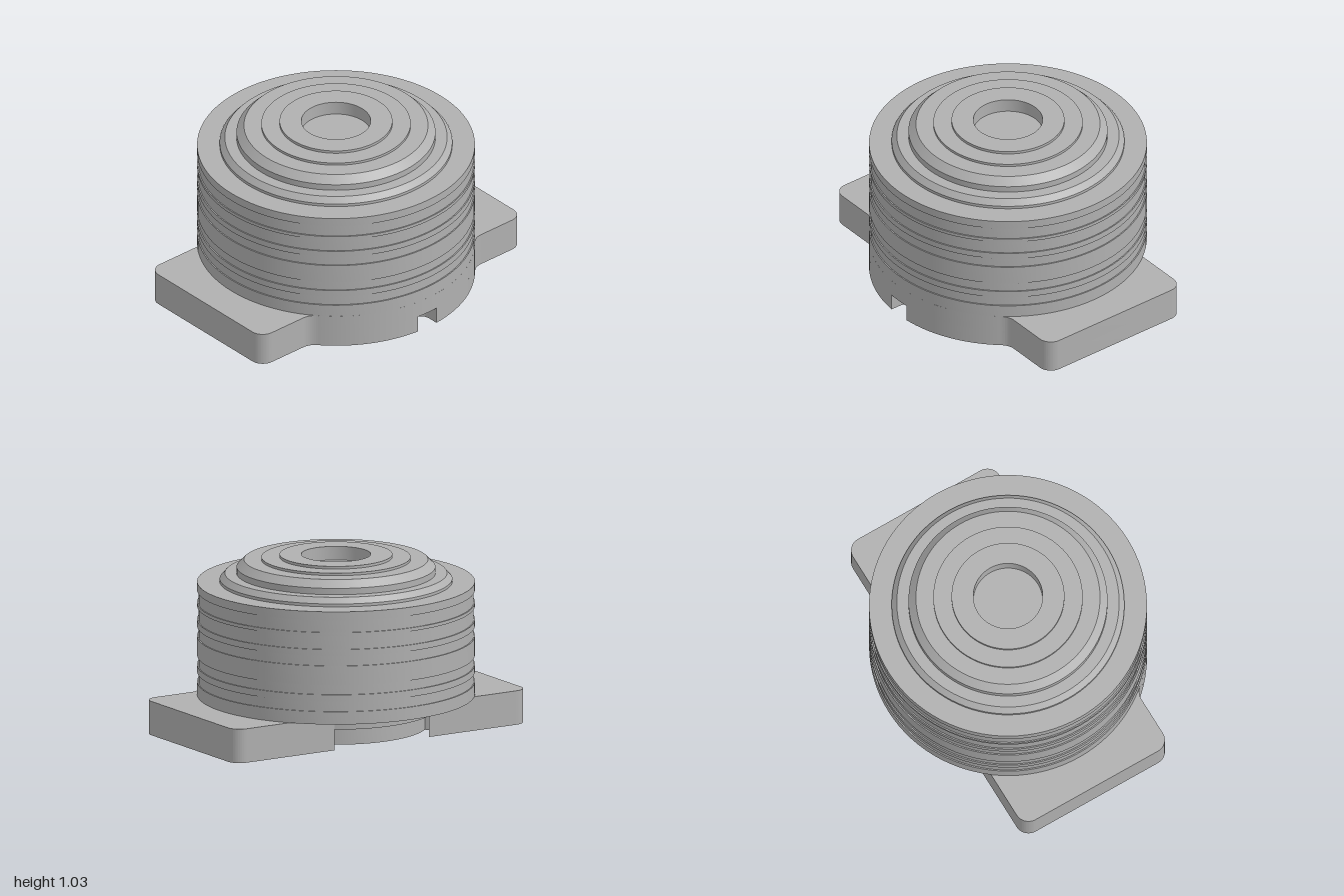
import * as THREE from 'three';
import { toCreasedNormals } from 'three/addons/utils/BufferGeometryUtils.js';

const grey = new THREE.MeshStandardMaterial({ color: 0xb0b0b0 });
grey.name = 'grey plastic';

function part(name, geometry, crease = 0.45) {
  const mesh = new THREE.Mesh(toCreasedNormals(geometry, crease), grey);
  mesh.name = name;
  return mesh;
}

// Extrudes a plan shape (x, z) between two heights
function slab(name, shape, bottom, top) {
  const g = new THREE.ExtrudeGeometry(shape, { depth: top - bottom, bevelEnabled: false, curveSegments: 48 });
  g.rotateX(Math.PI / 2);
  g.translate(0, top, 0);
  return part(name, g);
}

function circle(r, Type = THREE.Shape) {
  const s = new Type();
  s.absarc(0, 0, r, 0, Math.PI * 2, false);
  return s;
}

// Base outline: disc with two mounting tabs, trimmed flat on the -x side
function baseShape(notched) {
  const w = 0.49, c = 0.08, R = 0.8;
  const a = Math.atan2(0.60, 0.53), n = Math.asin(0.07 / R);
  const s = new THREE.Shape();
  s.moveTo(-w, -1 + c);
  s.absarc(-w + c, -1 + c, c, Math.PI, Math.PI * 1.5, false);
  s.absarc(w - c, -1 + c, c, -Math.PI / 2, 0, false);
  s.lineTo(w, -0.68);
  s.quadraticCurveTo(w, -0.635, R * Math.cos(a), -R * Math.sin(a));
  if (notched) {
    s.absarc(0, 0, R, -a, -n, false);
    s.absarc(0.735, 0, 0.07, -Math.PI / 2, -Math.PI * 1.5, true);
    s.absarc(0, 0, R, n, a, false);
  } else {
    s.absarc(0, 0, R, -a, a, false);
  }
  s.quadraticCurveTo(w, 0.635, w, 0.68);
  s.absarc(w - c, 1 - c, c, 0, Math.PI / 2, false);
  s.absarc(-w + c, 1 - c, c, Math.PI / 2, Math.PI, false);
  // The round recess breaks through the flat side
  const h = 0.587, b = Math.acos(w / h);
  s.lineTo(-w, h * Math.sin(b));
  s.absarc(0, 0, h, Math.PI - b, -Math.PI + b, true);
  s.closePath();
  return s;
}

// Vent disc with concentric slots split by spokes
function grilleShape() {
  const s = circle(0.53);
  for (let ring = 0; ring < 6; ring++) {
    const r0 = 0.1 + ring * 0.067, r1 = r0 + 0.034;
    const gap = 0.022 / r0;
    for (let k = 0; k < 8; k++) {
      const a0 = Math.PI / 8 + k * Math.PI / 4 + gap;
      const a1 = Math.PI / 8 + (k + 1) * Math.PI / 4 - gap;
      const hole = new THREE.Path();
      hole.absarc(0, 0, r1, a0, a1, false);
      hole.absarc(0, 0, r0, a1, a0, true);
      hole.closePath();
      s.holes.push(hole);
    }
  }
  return s;
}

export function createModel() {
  const model = new THREE.Group();
  model.name = 'round housing';

  // Ribbed drum and stepped cap, turned as one profile
  const R = 0.8, r = 0.793;
  const profile = [[0, 0.2], [R, 0.2]];
  const bands = [0.275, 0.335, 0.375, 0.432, 0.545, 0.605, 0.642, 0.722, 0.742, 0.815];
  bands.forEach((y, i) => {
    const [a, b] = i % 2 ? [r, R] : [R, r];
    profile.push([a, y], [b, y]);
  });
  profile.push(
    [R, 0.865], [0.67, 0.865], [0.67, 0.882], [0.64, 0.915],
    [0.573, 0.915], [0.573, 0.952], [0.53, 0.995],
    [0.43, 0.995], [0.43, 1.01], [0.325, 1.01], [0.325, 1.026],
    [0.2, 1.026], [0.2, 0.946], [0, 0.946]
  );
  const points = profile.map(([x, y]) => new THREE.Vector2(x, y));
  model.add(part('ribbed drum', new THREE.LatheGeometry(points, 96)));

  // Base in two layers, the lower one carrying the cable notch
  model.add(slab('lower base', baseShape(true), 0, 0.1));
  model.add(slab('upper base', baseShape(false), 0.1, 0.2));

  // Vent insert inside the base recess
  model.add(slab('vent flange', circle(0.58), 0.12, 0.2));
  model.add(slab('vent grille', grilleShape(), 0.02, 0.12));

  // Four locking lugs around the vent
  for (let k = 0; k < 4; k++) {
    const lug = part('locking lug', new THREE.BoxGeometry(0.06, 0.1, 0.05));
    const a = Math.PI / 4 + k * Math.PI / 2;
    lug.position.set(Math.cos(a) * 0.55, 0.07, Math.sin(a) * 0.55);
    lug.rotation.y = -a;
    model.add(lug);
  }
  return model;
}
